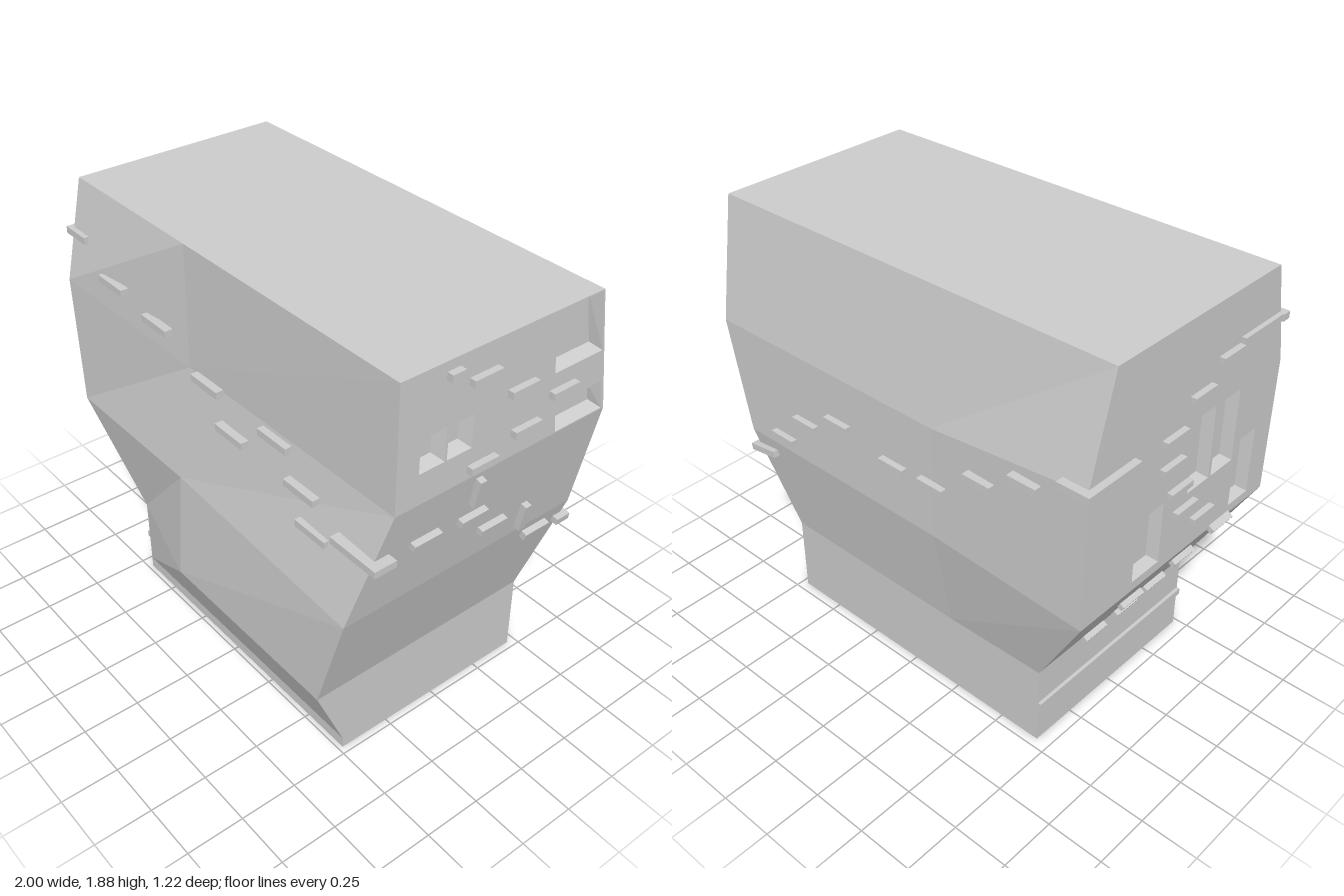
import * as THREE from 'three';

const material = new THREE.MeshStandardMaterial({ color: 0xcccccc, flatShading: true, side: THREE.DoubleSide });

// Flat-faced mesh from a list of quads / triangles (corners counter-clockwise)
function facesMesh(name, faces) {
  const pos = [];
  for (const f of faces)
    for (let i = 1; i < f.length - 1; i++) pos.push(...f[0], ...f[i], ...f[i + 1]);
  const g = new THREE.BufferGeometry();
  g.setAttribute('position', new THREE.Float32BufferAttribute(pos, 3));
  g.computeVertexNormals();
  const m = new THREE.Mesh(g, material);
  m.name = name;
  return m;
}

function bar(name, x, y, z, w, h, d, tilt = 0) {
  const m = new THREE.Mesh(new THREE.BoxGeometry(w, h, d), material);
  m.name = name;
  m.position.set(x, y, z);
  m.rotation.z = tilt;
  return m;
}

// Rings of the hull: yLeft, yRight, xLeft, xRight, front z (left, mid, right), back z (left, mid and right)
const RINGS = [
  [0, 0, -0.69, 0.72, 0.48, 0.48, 0.48, -0.46, -0.46],
  [0.05, 0.05, -0.69, 0.72, 0.48, 0.48, 0.48, -0.46, -0.46],
  [0.37, 0.36, -0.69, 0.72, 0.48, 0.61, 0.61, -0.46, -0.46],
  [0.85, 0.85, -0.97, 0.87, 0.57, 0.57, 0.61, -0.58, -0.55],
  [1.45, 1.35, -0.97, 0.97, 0.58, 0.49, 0.48, -0.58, -0.55],
  [1.88, 1.88, -0.97, 0.97, 0.48, 0.48, 0.48, -0.46, -0.46],
];
const MID = -0.22;

function hull() {
  const loops = RINGS.map(([yl, yr, xl, xr, fl, fm, fr, bl, br]) => [
    [xl, yl, fl], [MID, yr, fm], [xr, yr, fr], [xr, yr, br], [MID, yr, br], [xl, yl, bl],
  ]);
  const faces = [[...loops[0]].reverse(), loops[5]];
  for (let r = 0; r < 5; r++)
    for (let i = 0; i < 6; i++) {
      // The window panels fill these gaps
      if ((i === 2 && r === 4) || (i === 5 && r >= 3)) continue;
      const j = (i + 1) % 6;
      faces.push([loops[r][i], loops[r][j], loops[r + 1][j], loops[r + 1][i]]);
    }
  return facesMesh('hull', faces);
}

const rect = (u0, u1, v0, v1) => [[u0, v0], [u1, v0], [u1, v1], [u0, v1]];

// Flat panel with sunken, bevelled window recesses
function windowPanel(name, outline, windows, depth, bevel) {
  const group = new THREE.Group();
  group.name = name;
  const toVec = (l) => l.map(([u, v]) => new THREE.Vector2(u, v));
  const shape = new THREE.Shape(toVec(outline));
  const faces = [];
  for (const loop of windows) {
    shape.holes.push(new THREE.Path(toVec(loop)));
    const cu = loop.reduce((s, p) => s + p[0], 0) / 4;
    const cv = loop.reduce((s, p) => s + p[1], 0) / 4;
    const rim = loop.map(([u, v]) => [u, v, 0]);
    const floor = loop.map(([u, v]) => [u - Math.sign(u - cu) * bevel, v - Math.sign(v - cv) * bevel, -depth]);
    for (let i = 0; i < 4; i++) {
      const j = (i + 1) % 4;
      faces.push([rim[i], rim[j], floor[j], floor[i]]);
    }
    faces.push(floor);
  }
  const wall = new THREE.Mesh(new THREE.ShapeGeometry(shape), material);
  wall.name = 'panelWall';
  group.add(wall, facesMesh('windowRecesses', faces));
  return group;
}

export function createModel() {
  const model = new THREE.Group();
  model.add(hull());

  // Left (+x) upper panel, local u = -z
  const left = windowPanel('leftPanel',
    [[-0.48, 1.35], [0.55, 1.35], [0.46, 1.88], [-0.48, 1.88]],
    [
      rect(-0.38, -0.265, 1.48, 1.62), rect(-0.255, -0.14, 1.48, 1.62),
      [[0.29, 1.355], [0.535, 1.355], [0.515, 1.48], [0.27, 1.48]],
      [[0.25, 1.62], [0.495, 1.62], [0.455, 1.872], [0.22, 1.872]],
    ], 0.05, 0.02);
  left.rotation.y = Math.PI / 2;
  left.position.x = 0.97;

  // Right (-x) panel, local u = z
  const right = windowPanel('rightPanel',
    [[-0.58, 0.85], [0.57, 0.85], [0.58, 1.45], [0.48, 1.88], [-0.46, 1.88], [-0.58, 1.45]],
    [
      rect(-0.29, -0.13, 0.89, 1.16),
      rect(0.02, 0.155, 1.12, 1.44), rect(0.17, 0.31, 1.12, 1.44),
      rect(0.33, 0.46, 0.89, 1.19),
    ], 0.05, 0.01);
  right.rotation.y = -Math.PI / 2;
  right.position.x = -0.97;
  model.add(left, right);

  // Front bars: x, y, z
  for (const [x, y, z] of [
    [-0.65, 1.55, 0.55], [-0.38, 1.48, 0.525], [-0.08, 1.345, 0.505], [0.34, 1.32, 0.5],
    [0.1, 1.22, 0.525], [0.52, 1.205, 0.52], [0.61, 1.085, 0.54],
  ]) model.add(bar('frontBar', x, y, z, 0.17, 0.03, 0.035));

  // Back bars: x, y, z
  for (const [x, y, z] of [
    [-0.7, 1.36, -0.585], [-0.48, 1.25, -0.575], [-0.23, 1.1, -0.562], [-0.02, 1.09, -0.56],
    [0.29, 1.14, -0.56], [0.49, 1.05, -0.56], [0.64, 0.915, -0.56],
  ]) model.add(bar('backBar', x, y, z, 0.13, 0.03, 0.035));

  // Left side bars, laid on the sloping wall: z, y, length, height
  for (const [z, y, d, h] of [
    [0.25, 1.825, 0.06, 0.03], [0.11, 1.76, 0.13, 0.03], [-0.08, 1.635, 0.13, 0.03],
    [-0.295, 1.54, 0.13, 0.03], [-0.115, 1.455, 0.13, 0.03], [0.09, 1.395, 0.13, 0.03],
    [0.085, 1.26, 0.03, 0.13], [0.3, 1.14, 0.13, 0.03], [0.07, 1.125, 0.13, 0.03],
    [-0.065, 1.0, 0.13, 0.03], [-0.245, 0.945, 0.03, 0.13], [-0.37, 0.79, 0.13, 0.035],
  ]) {
    const x = y > 1.35 ? 0.97 : y > 0.85 ? 0.87 + (y - 0.85) * 0.2 : 0.72 + (y - 0.36) * 0.306;
    const tilt = y > 1.35 ? 0 : y > 0.85 ? -0.2 : -0.3;
    model.add(bar('leftBar', x + 0.01, y, z, 0.035, h, d, tilt));
  }

  // Right side bars: z, y
  for (const [z, y] of [
    [0.2, 1.64], [0.04, 1.55], [-0.11, 1.44], [-0.11, 1.32], [-0.05, 1.185], [0, 1.07],
    [0.12, 0.975], [0.27, 0.845], [0.145, 0.71], [-0.08, 0.59], [0.16, 0.49], [0.03, 0.415], [-0.14, 0.38],
  ]) {
    const slope = y < 0.85;
    const x = slope ? -0.69 - (y - 0.37) * 0.583 : -0.97;
    model.add(bar('rightBar', x - 0.008, y, z, 0.035, 0.025, 0.13, slope ? 0.53 : 0));
  }
  model.add(bar('rightLedge', -0.69, 0.19, 0.01, 0.03, 0.03, 0.94));

  // Bars wrapping the corners
  model.add(
    bar('frontRightCornerBar', -0.925, 1.66, 0.53, 0.14, 0.03, 0.04),
    bar('frontRightCornerBar', -0.975, 1.66, 0.41, 0.03, 0.03, 0.28),
    bar('backRightCornerBar', -0.93, 1.45, -0.595, 0.14, 0.03, 0.035),
    bar('backRightCornerBar', -0.985, 1.45, -0.47, 0.03, 0.03, 0.28),
    bar('frontLeftCornerBar', 0.855, 1.145, 0.515, 0.24, 0.03, 0.1),
    bar('backLeftCornerBar', 0.8, 0.775, -0.53, 0.15, 0.03, 0.07, -0.15),
  );
  return model;
}
